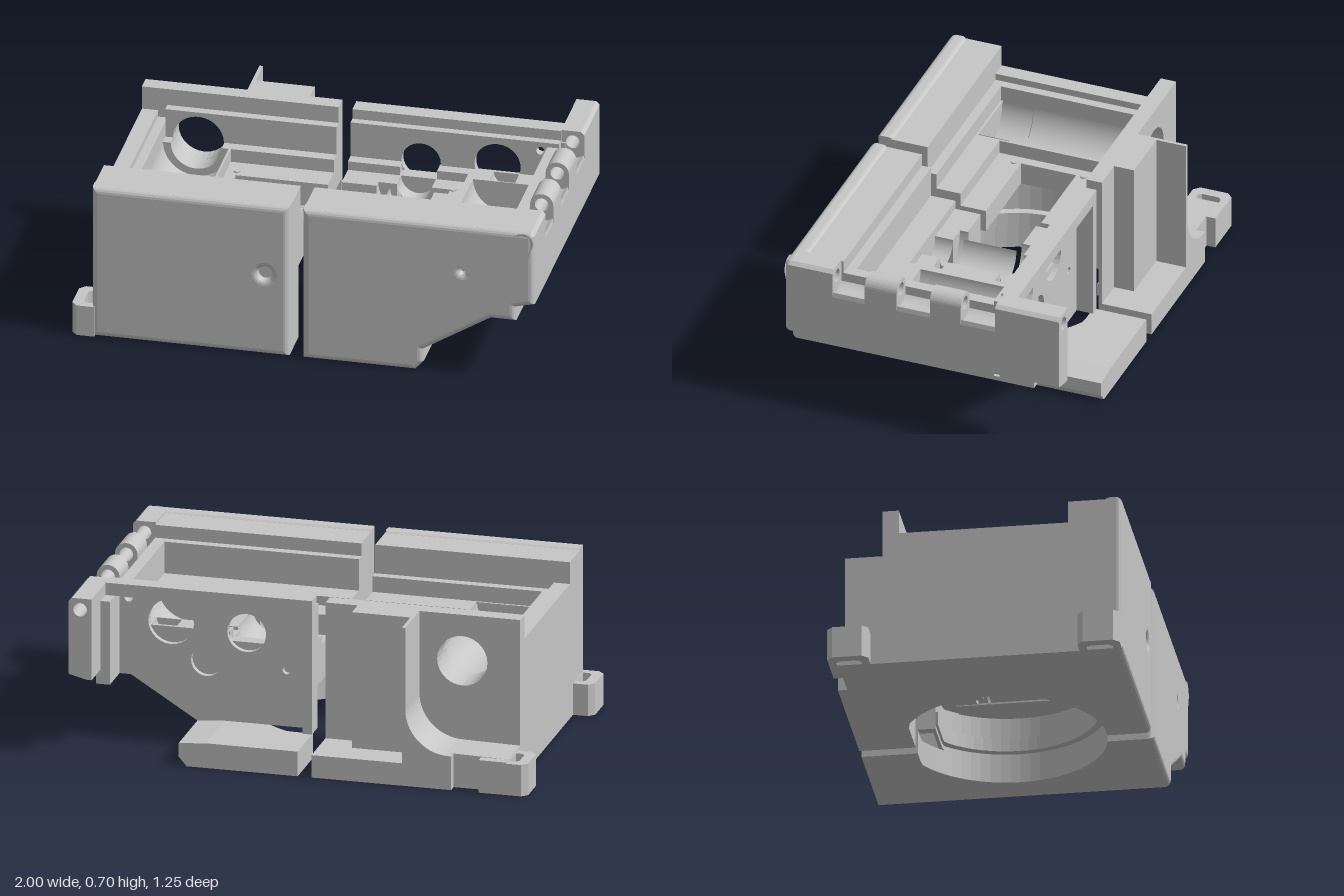
import * as THREE from 'three';

export function createModel() {
  const model = new THREE.Group();
  const grey = new THREE.MeshStandardMaterial({ color: 0xc6c6c6, side: THREE.DoubleSide });
  grey.name = 'light grey';

  const add = (name, geo) => {
    const m = new THREE.Mesh(geo, grey);
    m.name = name;
    model.add(m);
    return m;
  };
  const rect = (x0, x1, a, b) => [[x0, a], [x1, a], [x1, b], [x0, b]];
  const arc = (cx, cy, r, a0, a1, n = 28) => Array.from({ length: n + 1 }, (_, i) => {
    const a = a0 + (a1 - a0) * i / n;
    return [cx + r * Math.cos(a), cy + r * Math.sin(a)];
  });
  const circle = (x, y, r) => arc(x, y, r, 0, Math.PI * 2).slice(1);
  const extrude = (pts, holes, depth, bevel = 0) => {
    const vec = (list) => list.map(([x, y]) => new THREE.Vector2(x, y));
    const shape = new THREE.Shape(vec(pts));
    for (const h of holes) shape.holes.push(new THREE.Path(vec(h)));
    return new THREE.ExtrudeGeometry(shape, {
      depth, bevelEnabled: bevel > 0, bevelSize: bevel, bevelThickness: bevel, bevelOffset: -bevel, bevelSegments: 4,
    });
  };
  // Outline in (x, z), raised from y0 to y1
  const plan = (name, pts, y0, y1, holes = []) => {
    const flip = (list) => list.map(([x, z]) => [x, -z]);
    return add(name, extrude(flip(pts), holes.map(flip), y1 - y0).rotateX(-Math.PI / 2).translate(0, y0, 0));
  };
  // Outline in (x, y), running from z0 to z1
  const front = (name, pts, z0, z1, holes = []) =>
    add(name, extrude(pts, holes, z1 - z0).translate(0, 0, z0));
  // Front face plate with rounded edges
  const skin = (name, pts, holes) => add(name, extrude(pts, holes, 0.03, 0.025).translate(0, 0, 0.565));
  // Lower half of an open tube lying along z
  const trough = (name, x, y, r, z0, z1) =>
    add(name, new THREE.CylinderGeometry(r, r, z1 - z0, 32, 1, true, -Math.PI / 2, Math.PI)
      .rotateX(Math.PI / 2).translate(x, y, (z0 + z1) / 2));

  const F = 0.59, B = -0.4, IN = -0.33, BACK = -0.625, TOP = 0.705, FLOOR = 0.5;
  const CX = -0.085, R = 0.432;
  // Keeps the round bore from breaking through the rear
  const clamp = (pts, limit) => pts.map(([x, z]) => [x, Math.max(z, limit)]);
  const aL = Math.acos((-0.06 - CX) / R), aR = Math.acos((0 - CX) / R);
  const boreL = clamp(arc(CX, 0, R, aL, 2 * Math.PI - aL), -0.385);
  const boreR = arc(CX, 0, R, aR, -aR);

  // ---- Left half: base, bored body and floor layers
  plan('leftBase', [[-0.06, BACK], [-0.67, BACK], [-0.67, -0.585], [-0.79, -0.585], [-0.79, BACK],
    [-0.91, BACK], [-0.91, F], [-0.06, F], ...boreL], 0, 0.1);
  plan('leftBody', [[-0.06, B], [-0.91, B], [-0.91, F], [-0.06, F], ...boreL], 0.1, 0.34);
  const leftFloor = (name, bx, bz, y0, y1) => plan(name, [
    [-0.06, F], [-0.91, F], [-0.91, IN], [-0.8, IN], [-0.8, 0.34], [-0.515, 0.34], [-0.515, IN],
    [-0.06, IN], [-0.06, -bz], [bx, -bz], [bx, bz], [-0.06, bz]], y0, y1);
  leftFloor('leftFloor', -0.46, 0.125, 0.34, 0.44);
  leftFloor('leftUpperFloor', -0.505, 0.24, 0.44, FLOOR);
  trough('leftMotorCradle', -0.655, FLOOR, 0.143, -0.24, 0.2);
  trough('leftMotorCradleEnd', -0.655, FLOOR, 0.136, 0.2, 0.34);
  front('leftMotorCollar', [[-0.8, 0.34], [-0.515, 0.34], [-0.515, FLOOR],
    ...arc(-0.655, FLOOR, 0.11, 0, -Math.PI), [-0.8, FLOOR]], IN, -0.24);

  // Left rim: low end wall, full-height front bar, rear wall with inner ledge
  plan('leftLedge', [[-0.06, F], [-0.91, F], [-0.91, IN], [-0.8, IN], [-0.8, 0.35], [-0.06, 0.35]], FLOOR, 0.57);
  plan('leftEndWall', rect(-0.91, -0.84, IN, 0.39), 0.57, 0.6);
  plan('leftFrontBar', rect(-0.91, -0.06, 0.39, F), 0.57, TOP - 0.008);
  const motorHole = [circle(-0.657, FLOOR, 0.11)];
  front('leftBackWall', rect(-0.91, -0.06, 0.34, TOP), B, IN, motorHole);
  front('leftBackLedge', [[-0.8, FLOOR], ...arc(-0.657, FLOOR, 0.11, Math.PI, 0), [-0.06, FLOOR], [-0.06, 0.63],
    [-0.8, 0.63]], IN, -0.29);
  skin('leftFrontSkin', rect(-0.91, -0.06, 0, TOP), [circle(-0.165, 0.38, 0.03)]);

  // Rear column and curved rear cradle with a thin upright fin
  front('rearColumn', rect(-0.46, -0.2, 0.1, TOP), -0.49, B);
  const curve = arc(-0.66, 0.34, 0.19, 0, -Math.PI / 2, 14);
  front('rearCradle', [[-0.91, 0.1], [-0.455, 0.1], [-0.455, TOP], [-0.47, TOP], ...curve, [-0.91, 0.145]],
    -0.585, B);
  front('rearCradleEdge', [[-0.67, 0.1], [-0.455, 0.1], [-0.455, TOP], [-0.47, TOP], ...curve, [-0.67, 0.15]],
    BACK, -0.585);
  front('rearCradleCorner', rect(-0.91, -0.79, 0.1, 0.145), BACK, -0.585);

  // Slotted mounting ears
  for (const [z0, z1] of [[BACK, -0.45], [0.44, 0.62]]) {
    plan('mountingEar', [[-0.9, z0], [-0.975, z0], [-1, z0 + 0.025], [-1, z1 - 0.025], [-0.975, z1], [-0.9, z1]],
      0, 0.14, [[[-0.955, z0 + 0.05], [-0.94, z0 + 0.035], [-0.915, z0 + 0.035],
        [-0.915, z1 - 0.035], [-0.94, z1 - 0.035], [-0.955, z1 - 0.05]]]);
  }

  // ---- Right half: base, bored body and sloping underside
  const RB = -0.325;
  plan('rightBase', [[0, BACK], [0.4, BACK], [0.4, F], [0, F], ...clamp(boreR, -0.385)], 0, 0.11);
  plan('rightBody', [[0, RB], [0.4, RB], [0.4, F], [0, F], ...clamp(boreR, -0.31)], 0.11, 0.3);
  const foot = [[0.4, 0], [0.485, 0], [0.52, 0.04], [0.52, 0.1]];
  front('rightRearFoot', [...foot, [0.4, 0.11]], BACK, RB);
  front('slopedUnderside', [...foot, [0.81, 0.28], [0.92, 0.28], [0.92, 0.3], [0.4, 0.3]], RB, F);

  // Right floor layers with motor and pulley recesses
  const motorHoles = [rect(0.55, 0.83, -0.2, 0.18), rect(0.62, 0.73, -0.285, -0.205), rect(0.66, 0.72, 0.185, 0.22)];
  const half = [[0, 0.125], [0.15, 0.125], [0.15, 0.16], [0.23, 0.16], [0.23, 0.24], [0.38, 0.24],
    [0.38, 0.16], [0.46, 0.16], [0.46, 0.12], [0.4, 0.12]];
  const mirrored = half.map(([x, z]) => [x, -z]).reverse();
  plan('rightFloor', [[0, F], ...half, ...mirrored, [0, -0.3], [0.92, -0.3], [0.92, F]], 0.3, 0.46, motorHoles);
  plan('rightUpperFloor', [[0, F], [0, 0.24], [0.52, 0.24], [0.52, -0.24], [0.385, -0.24], [0.385, -0.3], [0.9, -0.3],
    [0.9, F]], 0.46, FLOOR, motorHoles);
  plan('rightUpperFloorStrip', rect(0, 0.225, -0.3, -0.24), 0.46, FLOOR);
  plan('pulleyFloor', rect(0.19, 0.47, -0.25, 0.25), 0.296, 0.304);
  trough('rightMotorCradle', 0.69, FLOOR, 0.14, -0.2, 0.18);
  trough('rightMotorNose', 0.675, FLOOR, 0.055, -0.285, -0.2);
  trough('rightMotorTail', 0.69, FLOOR, 0.03, 0.18, 0.22);
  trough('pulleyCradle', 0.305, 0.46, 0.095, -0.12, 0.12);
  for (const s of [-1, 1]) {
    trough('pulleyFlangeSlot', 0.305, 0.46, 0.155, s * 0.14 - 0.02, s * 0.14 + 0.02);
    trough('pulleyShaftSlot', 0.305, 0.46, 0.075, s * 0.2 - 0.04, s * 0.2 + 0.04);
  }

  // Right rim and front skin
  plan('rightLedge', [[0, F], [0.9, F], [0.9, -0.3], [0.85, -0.3], [0.85, 0.35], [0, 0.35]], FLOOR, 0.64);
  plan('rightRim', rect(0, 0.9, 0.39, F), 0.64, TOP - 0.008);
  skin('rightFrontSkin', [[0, 0], [0.485, 0], [0.52, 0.04], [0.52, 0.1], [0.81, 0.28], [0.92, 0.28],
    [0.92, 0.345], [1, 0.365], [1, 0.69], [0.985, TOP], [0, TOP]],
  [circle(0.69, 0.49, 0.012), circle(0.95, 0.655, 0.02)]);

  // Right back wall, set in behind a frame of post, top lip and end column
  front('rightBackWall', rect(0, 0.9, 0.3, 0.66), RB, -0.29, [
    circle(0.305, 0.51, 0.085), circle(0.48, 0.37, 0.068), circle(0.635, 0.53, 0.1),
    circle(0.82, 0.62, 0.018), circle(0.13, 0.36, 0.018)]);
  front('rightBackLip', rect(0, 0.9, 0.65, TOP), B, IN + 0.005);
  front('rightBackPost', rect(0, 0.04, 0.11, 0.65), B, RB);
  front('rightBackColumn', rect(0.86, 0.92, 0.28, 0.65), -0.48, RB);

  // Hinge rail with hollowed seats, end blocks and rounded knuckles
  front('hingeRail', [[0.9, 0.345], [0.92, 0.345], [1, 0.365], [1, 0.575],
    ...arc(0.95, 0.655, 0.075, -0.9, -2.3, 8), [0.9, 0.62]], BACK, F);
  const pin = [circle(0.95, 0.655, 0.03)];
  for (const [z0, z1] of [[0.4, F], [BACK, -0.335]])
    front('hingeEndBlock', [[0.9, 0.56], [1, 0.56], [1, 0.69], [0.985, TOP], [0.9, TOP]], z0, z1, pin);
  for (const [z0, z1] of [[0.11, 0.255], [-0.18, -0.04]])
    front('hingeKnuckle', [[0.9, 0.56], [1, 0.56], ...arc(0.95, 0.655, 0.05, 0, Math.PI, 16)], z0, z1, pin);

  // Raised retaining band inside the round bore
  const band = (name, a0, a1, limit) => plan(name,
    [...clamp(arc(CX, 0, R, a0, a1), limit), ...clamp(arc(CX, 0, 0.4, a1, a0), limit + 0.015)], 0.13, 0.19);
  band('leftBoreBand', aL + 0.02, 2 * Math.PI - aL - 0.02, -0.39);
  band('rightBoreBand', aR - 0.02, -aR + 0.02, -0.315);

  // Screw seats as shallow discs on the recess floor
  for (const [x, y] of [[-0.46, 0.44], [0.475, 0.46]]) for (const z of [-0.16, 0.155])
    add('screwSeat', new THREE.CylinderGeometry(0.016, 0.016, 0.006, 16).translate(x, y + 0.003, z));

  return model;
}
